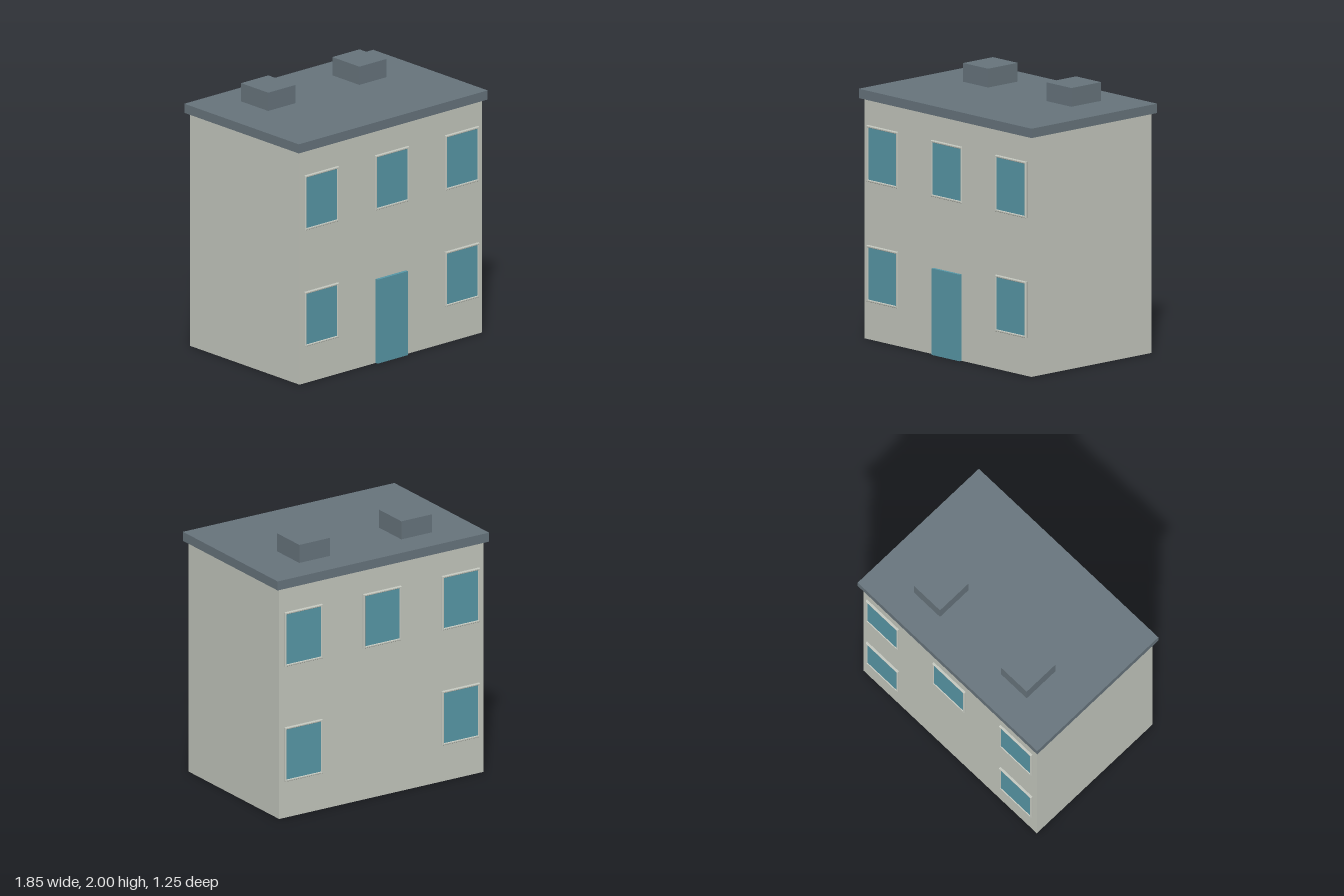
import * as THREE from 'three';

const material = (name, color) => {
  const m = new THREE.MeshStandardMaterial({ color });
  m.name = name;
  return m;
};

export function createModel() {
  const house = new THREE.Group();
  house.name = 'house';
  const stone = material('pale stone', 0xc2c5bc);
  const teal = material('teal glass and door', 0x5796a5);
  const slate = material('slate', 0x66737b);

  // Box given by its lower and upper corners
  const box = (name, mat, [x0, y0, z0], [x1, y1, z1], parent = house) => {
    const mesh = new THREE.Mesh(new THREE.BoxGeometry(x1 - x0, y1 - y0, z1 - z0), mat);
    mesh.position.set((x0 + x1) / 2, (y0 + y1) / 2, (z0 + z1) / 2);
    mesh.name = name;
    parent.add(mesh);
    return mesh;
  };

  const halfDepth = 0.597;
  box('walls', stone, [-0.893, 0, -halfDepth], [0.893, 1.8, halfDepth]);
  box('roofSlab', slate, [-0.924, 1.79, -0.624], [0.924, 1.86, 0.624]);
  box('rightChimney', slate, [-0.58, 1.86, -0.388], [-0.314, 2, -0.093]);
  box('leftChimney', slate, [0.312, 1.86, -0.388], [0.578, 2, -0.093]);
  box('door', teal, [-0.148, 0, halfDepth - 0.01], [0.148, 0.645, 0.621]);

  // Bevelled window frame with an open middle
  const rectangle = (path, w, h) => path
    .moveTo(-w, -h).lineTo(w, -h).lineTo(w, h).lineTo(-w, h).closePath();
  const frameShape = rectangle(new THREE.Shape(), 0.161, 0.206);
  frameShape.holes.push(rectangle(new THREE.Path(), 0.154, 0.198));
  const frameGeometry = new THREE.ExtrudeGeometry(frameShape, {
    depth: 0.012, bevelEnabled: true, bevelThickness: 0.005, bevelSize: 0.004, bevelSegments: 1,
  });

  const addWindow = (facade, x, y) => {
    const group = new THREE.Group();
    group.name = 'window';
    const frame = new THREE.Mesh(frameGeometry, stone);
    frame.name = 'windowFrame';
    frame.position.z = 0.003;
    group.add(frame);
    box('windowPane', teal, [-0.152, -0.196, 0.005], [0.152, 0.196, 0.0135], group);
    group.position.set(x, y, halfDepth);
    facade.add(group);
  };

  // Same window layout on the front and the back
  for (const [name, turn] of [['frontWindows', 0], ['backWindows', Math.PI]]) {
    const facade = new THREE.Group();
    facade.name = name;
    facade.rotation.y = turn;
    for (const x of [-0.687, 0, 0.687]) {
      addWindow(facade, x, 1.388);
      if (x !== 0) addWindow(facade, x, 0.494);
    }
    house.add(facade);
  }
  return house;
}
